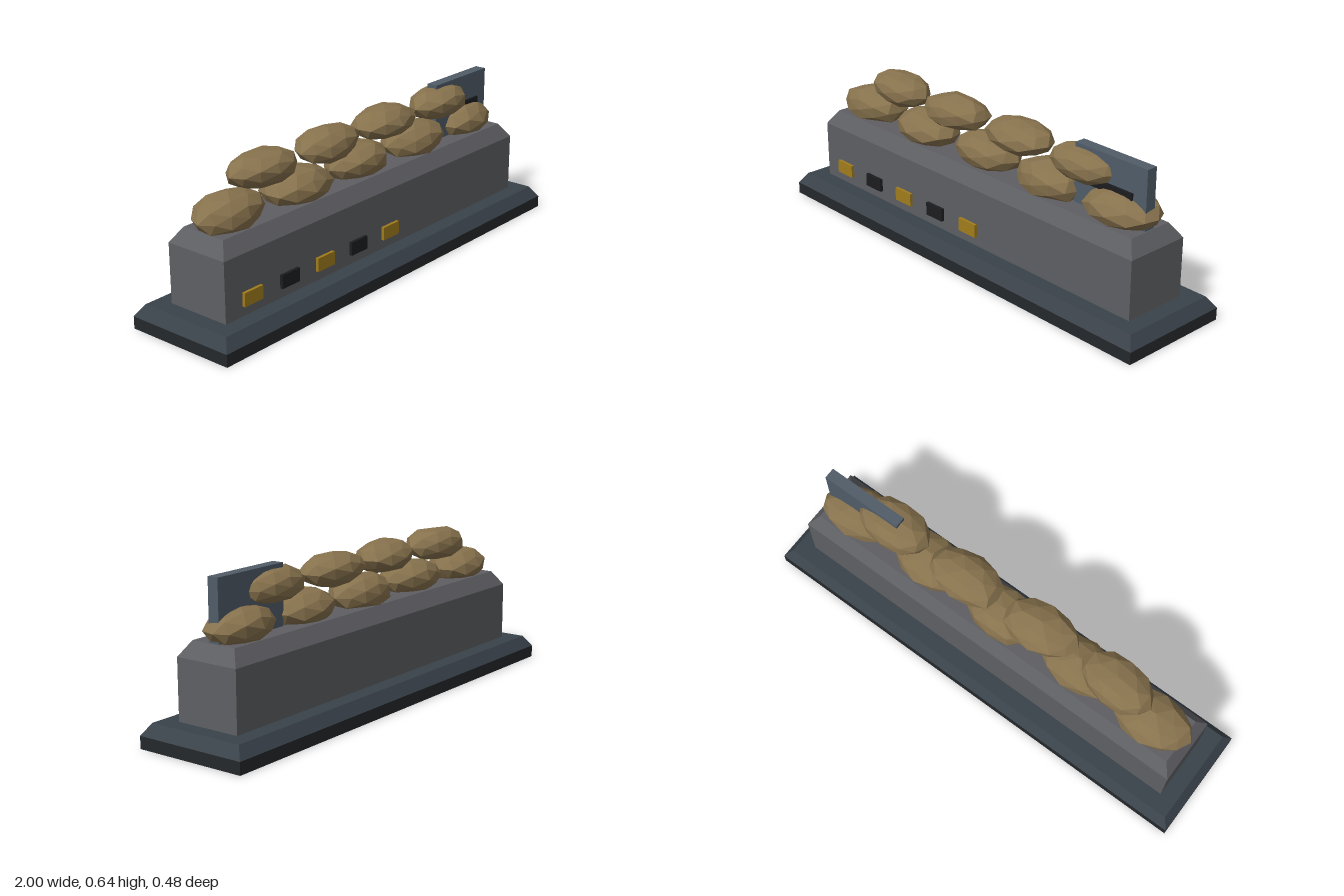
import * as THREE from 'three';

const mat = (color) => new THREE.MeshStandardMaterial({ color, flatShading: true });

export function createModel() {
  const model = new THREE.Group();
  model.name = 'barricade';

  const darkBase = mat(0x25282c), slate = mat(0x3a424a), concrete = mat(0x5e5f63);
  const steel = mat(0x505c68), gold = mat(0xa07c1c), black = mat(0x1c1d20), burlap = mat(0x87724d);

  const add = (name, geometry, material, x, y, z, parent = model) => {
    const mesh = new THREE.Mesh(geometry, material);
    mesh.name = name;
    mesh.position.set(x, y, z);
    parent.add(mesh);
    return mesh;
  };

  // Block from y0 to y1 whose top edge is drawn in by inset
  const block = (name, width, depth, y0, y1, inset, material) => {
    const h = y1 - y0;
    const g = new THREE.BoxGeometry(width, h, depth);
    const p = g.attributes.position;
    for (let i = 0; i < p.count; i++) {
      if (p.getY(i) > 0) {
        p.setX(i, p.getX(i) - Math.sign(p.getX(i)) * inset);
        p.setZ(i, p.getZ(i) - Math.sign(p.getZ(i)) * inset);
      }
    }
    g.computeVertexNormals();
    add(name, g, material, 0, y0 + h / 2, 0);
  };

  // Footing and wall, each with a chamfered top
  block('footing', 2, 0.48, 0, 0.05, 0, darkBase);
  block('footingChamfer', 2, 0.48, 0.05, 0.097, 0.032, slate);
  block('wall', 1.8, 0.28, 0.097, 0.34, 0, concrete);
  block('wallChamfer', 1.8, 0.28, 0.34, 0.4, 0.04, concrete);

  // Alternating warning markers on the front
  for (let i = 0; i < 5; i++) {
    add('warningMarker', new THREE.BoxGeometry(0.096, 0.055, 0.026),
      i % 2 ? black : gold, -0.765 + i * 0.2, 0.165, 0.14);
  }

  // Steel shield with a viewing slit
  add('shield', new THREE.BoxGeometry(0.356, 0.25, 0.047), steel, 0.677, 0.517, 0);
  add('viewingSlit', new THREE.BoxGeometry(0.23, 0.033, 0.02), black, 0.677, 0.514, 0.023);

  // Sandbags: faceted lumps, each slightly dented by a repeatable wobble
  const sandbag = (x, y, z, rx, ry, rz, turn, seed) => {
    const g = new THREE.IcosahedronGeometry(1, 1);
    const p = g.attributes.position;
    const v = new THREE.Vector3();
    for (let i = 0; i < p.count; i++) {
      v.fromBufferAttribute(p, i);
      const wobble = 1 + 0.045 * Math.sin(v.x * 4.1 + v.y * 7.3 + v.z * 5.7 + seed * 2.1);
      v.multiplyScalar(wobble);
      p.setXYZ(i, v.x * rx, v.y * ry, v.z * rz);
    }
    g.computeVertexNormals();
    add('sandbag', g, burlap, x, y, z).rotation.y = turn;
  };
  const turns = [0.06, -0.08, 0.03, -0.05, 0.09];
  for (let i = 0; i < 5; i++) {
    sandbag(-0.727 + i * 0.362, 0.443, i % 2 ? 0.005 : -0.003, 0.163, 0.079, 0.11, turns[i], i);
  }
  for (let i = 0; i < 4; i++) {
    sandbag(-0.545 + i * 0.36, 0.563, i % 2 ? 0.003 : -0.003, 0.163, 0.07, 0.102, -turns[i], i + 5);
  }
  return model;
}
